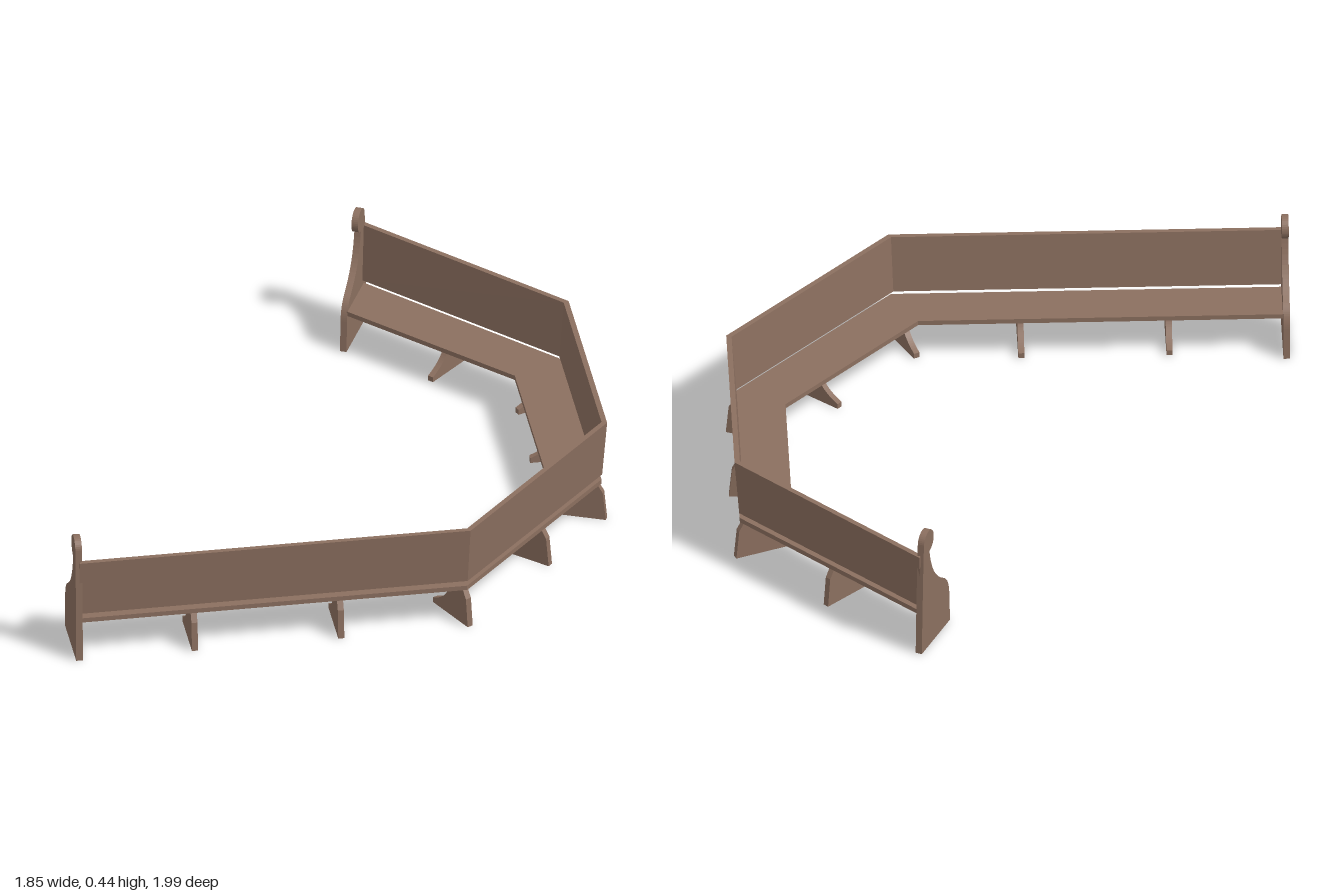
import * as THREE from 'three';

// Outer and inner plan outlines of the curved bench, as [x, z] stations
const OUTER = [[-0.91, 0.98], [0.375, 0.98], [0.92, 0.385], [0.92, -0.385], [0.343, -0.985]];
const INNER = [[-0.91, 0.8], [0.287, 0.8], [0.735, 0.308], [0.735, -0.308], [0.256, -0.8]];
const DEPTH = 0.18;

// Point at station i, depth d inward from the outer line
function planPoint(i, d, y) {
  const t = d / DEPTH, [ax, az] = OUTER[i], [bx, bz] = INNER[i];
  return new THREE.Vector3(ax + (bx - ax) * t, y, az + (bz - az) * t);
}

// Sweep a four-cornered (depth, height) section along the mitred stations with crisp faces
function sweep(section) {
  const pos = [];
  const quad = (a, b, c, d) => [a, b, c, a, c, d].forEach(p => pos.push(p.x, p.y, p.z));
  const rings = OUTER.map((_, i) => section.map(([d, y]) => planPoint(i, d, y)));
  for (let i = 0; i < rings.length - 1; i++) {
    for (let j = 0; j < 4; j++) {
      const k = (j + 1) % 4;
      quad(rings[i][j], rings[i + 1][j], rings[i + 1][k], rings[i][k]);
    }
  }
  const first = rings[0], last = rings[rings.length - 1];
  quad(first[0], first[1], first[2], first[3]);
  quad(last[3], last[2], last[1], last[0]);
  const g = new THREE.BufferGeometry();
  g.setAttribute('position', new THREE.Float32BufferAttribute(pos, 3));
  g.computeVertexNormals();
  return g;
}

// Upright board cut from a side profile, centred on its thickness
function board(shape, thickness) {
  const g = new THREE.ExtrudeGeometry(shape, { depth: thickness, bevelEnabled: false, curveSegments: 14 });
  return g.translate(0, 0, -thickness / 2);
}

// Leg: flat foot with a concave front rising to a narrow top
function legShape() {
  const s = new THREE.Shape();
  s.moveTo(-0.01, 0);
  s.lineTo(0.185, 0);
  s.lineTo(0.185, 0.018);
  s.quadraticCurveTo(0.115, 0.045, 0.095, 0.1);
  s.quadraticCurveTo(0.088, 0.118, 0.07, 0.13);
  s.lineTo(0.018, 0.13);
  s.lineTo(0.0, 0.1);
  s.closePath();
  return s;
}

// End panel: broad foot, concave arm and round scroll on top
function endShape() {
  const s = new THREE.Shape();
  s.moveTo(-0.01, 0);
  s.lineTo(0.22, 0);
  s.lineTo(0.214, 0.11);
  s.quadraticCurveTo(0.21, 0.16, 0.175, 0.185);
  s.bezierCurveTo(0.12, 0.22, 0.07, 0.26, 0.052, 0.361);
  s.absarc(0.047, 0.4, 0.04, -1.45, Math.PI, false);
  s.lineTo(0.003, 0.34);
  s.lineTo(-0.006, 0.12);
  s.closePath();
  return s;
}

export function createModel() {
  const model = new THREE.Group();
  model.name = 'curvedBench';
  const wood = new THREE.MeshStandardMaterial({ color: 0x8b6f5f });
  wood.name = 'brown wood';

  const add = (name, geometry) => {
    const mesh = new THREE.Mesh(geometry, wood);
    mesh.name = name;
    model.add(mesh);
    return mesh;
  };
  // Stand a board at (x, z) with its profile running toward (dx, dz)
  const stand = (name, geometry, x, z, dx, dz) => {
    const mesh = add(name, geometry);
    mesh.position.set(x, 0, z);
    mesh.rotation.y = Math.atan2(-dz, dx);
  };

  // Seat and leaning backrest
  add('seat', sweep([[0.012, 0.13], [0.012, 0.146], [DEPTH, 0.146], [DEPTH, 0.13]]));
  add('backrest', sweep([[0.01, 0.165], [-0.005, 0.364], [0.012, 0.364], [0.027, 0.165]]));

  // Scrolled end panels
  const end = board(endShape(), 0.022);
  stand('rightEndPanel', end, -0.911, 0.98, 0, -1);
  stand('leftEndPanel', end, 0.343, -0.985, -0.1, 0.21);

  // Legs on the corner bisectors
  const leg = board(legShape(), 0.02);
  for (let i = 1; i <= 3; i++) {
    const p = planPoint(i, 0.006, 0), q = planPoint(i, DEPTH, 0);
    stand('cornerLeg', leg, p.x, p.z, q.x - p.x, q.z - p.z);
  }
  // Legs square to each straight run, at fractions along it
  [[0.295, 0.67], [0.575], [0.51], [0.5]].forEach((fractions, i) => {
    const [ax, az] = OUTER[i], [bx, bz] = OUTER[i + 1];
    fractions.forEach(t => {
      stand('runLeg', leg, ax + (bx - ax) * t, az + (bz - az) * t, bz - az, -(bx - ax));
    });
  });
  return model;
}
